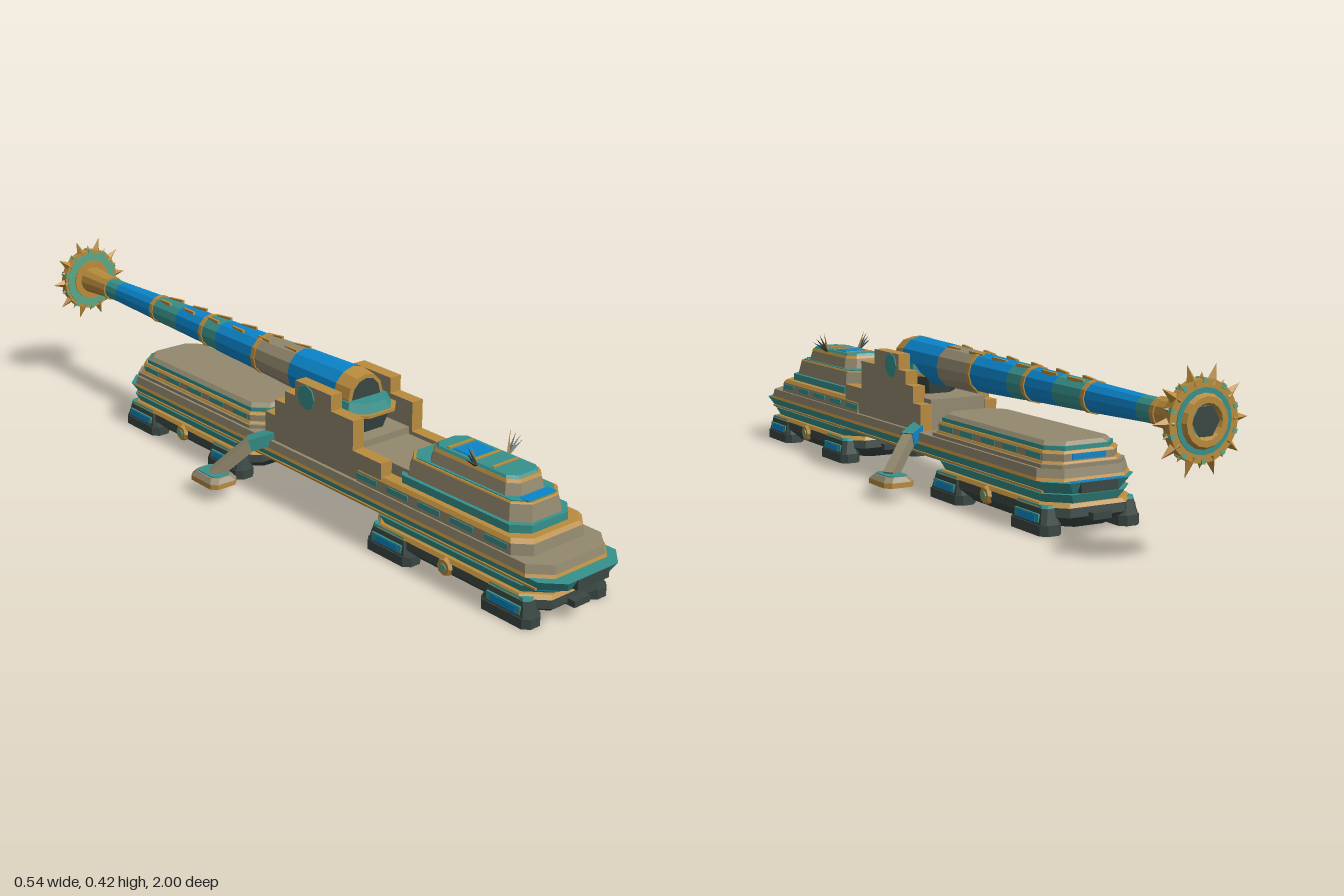
import * as THREE from 'three';

const mat = (name, color) => Object.assign(new THREE.MeshStandardMaterial({ color, flatShading: true }), { name });

export function createModel() {
  const gold = mat('gold', 0xb98b3d), stone = mat('stone grey', 0x93896f), teal = mat('teal', 0x37918c);
  const blue = mat('blue', 0x0b86cc), dark = mat('dark iron', 0x3a4743), mint = mat('light teal', 0x58a888);
  const sea = mat('deep cyan', 0x1a86a6);
  const root = new THREE.Group();
  root.name = 'railGun';

  const group = (name, parent = root) => {
    const g = new THREE.Group();
    g.name = name;
    parent.add(g);
    return g;
  };
  const add = (parent, name, geo, material, x = 0, y = 0, z = 0) => {
    const m = new THREE.Mesh(geo, material);
    m.name = name;
    m.position.set(x, y, z);
    parent.add(m);
    return m;
  };
  const box = (p, name, m, w, h, d, x, y, z) => add(p, name, new THREE.BoxGeometry(w, h, d), m, x, y, z);

  // Slab with clipped corners, tapering from its bottom ring to its top ring
  const slab = (p, name, m, y0, y1, zB, zF, hw, inBot = 0, inTop = 0, clip = 0.035) => {
    const ring = (y, i) => {
      const w = hw - i, f = zF - i, b = zB + i, c = clip;
      return [[w - c, f], [w, f - c], [w, b + c], [w - c, b], [c - w, b], [-w, b + c], [-w, f - c], [c - w, f]]
        .map(([x, z]) => [x, y, z]);
    };
    const a = ring(y0, inBot), b = ring(y1, inTop), pos = [];
    const tri = (...v) => v.forEach(q => pos.push(...q));
    for (let i = 0; i < 8; i++) {
      const j = (i + 1) % 8;
      tri(a[i], a[j], b[j]);
      tri(a[i], b[j], b[i]);
      if (i > 0 && i < 7) {
        tri(b[0], b[i], b[j]);
        tri(a[0], a[j], a[i]);
      }
    }
    const g = new THREE.BufferGeometry();
    g.setAttribute('position', new THREE.Float32BufferAttribute(pos, 3));
    g.computeVertexNormals();
    return add(p, name, g, m);
  };

  // Two bogies with corner feet
  const bogie = (name, zB, zF) => {
    const g = group(name), mid = (zB + zF) / 2, half = (zF - zB) / 2;
    slab(g, 'lowerHull', dark, 0.01, 0.04, zB, zF, 0.124, 0.035, 0, 0.05);
    slab(g, 'upperHull', dark, 0.04, 0.062, zB, zF, 0.124, 0, 0.003, 0.05);
    slab(g, 'goldBand', gold, 0.062, 0.071, zB, zF, 0.126, 0, 0.006, 0.05);
    slab(g, 'tealCollar', teal, 0.071, 0.092, zB, zF, 0.12, 0.01, 0, 0.05);
    for (const s of [-1, 1]) {
      box(g, 'bumper', dark, 0.05, 0.016, 0.03, 0, 0.042, mid + s * (half + 0.005));
      const boss = add(g, 'sideBoss', new THREE.CylinderGeometry(0.019, 0.024, 0.01, 8), gold, s * 0.126, 0.048, mid);
      boss.rotation.z = -s * Math.PI / 2;
      const hub = add(g, 'bossHub', new THREE.CylinderGeometry(0.01, 0.01, 0.003, 8), mint, s * 0.132, 0.048, mid);
      hub.rotation.z = -s * Math.PI / 2;
      for (const e of [-1, 1]) {
        const z = mid + e * (half - 0.09);
        const foot = group('foot', g);
        slab(foot, 'footPad', dark, 0, 0.024, z - 0.075, z + 0.075, 0.029, 0, 0, 0.015);
        slab(foot, 'footBlock', dark, 0.024, 0.06, z - 0.07, z + 0.07, 0.026, 0, 0.008, 0.01);
        slab(foot, 'footCap', teal, 0.06, 0.067, z - 0.062, z + 0.062, 0.019, 0, 0.002, 0.01);
        foot.position.x = s * 0.107;
        box(g, 'footFrame', teal, 0.006, 0.02, 0.1, s * 0.13, 0.038, z);
        box(g, 'footWindow', blue, 0.004, 0.016, 0.075, s * 0.132, 0.037, z);
      }
    }
  };
  bogie('frontBogie', 0.40, 0.955);
  bogie('rearBogie', -0.615, -0.055);

  // Long deck
  const deck = group('deck');
  slab(deck, 'deckBelly', sea, 0.088, 0.092, -0.59, 0.97, 0.108);
  slab(deck, 'deckRim', teal, 0.092, 0.12, -0.622, 1.0, 0.124, 0.016, 0, 0.045);
  slab(deck, 'deckLine', gold, 0.12, 0.127, -0.602, 0.966, 0.128, 0, 0.003, 0.045);
  slab(deck, 'deckPlate', stone, 0.127, 0.147, -0.598, 0.962, 0.125, 0, 0.004, 0.045);
  box(deck, 'rearRimPlate', blue, 0.14, 0.004, 0.016, 0, 0.119, -0.612);
  for (const s of [-1, 1]) {
    box(deck, 'rimStrip', gold, 0.006, 0.005, 1.5, s * 0.112, 0.0945, 0.19);
    box(deck, 'couplerPlate', dark, 0.1, 0.024, 0.026, 0, 0.107, 0.189 + s * 0.799);
  }

  // Front cabin in stepped tiers
  const cabin = group('frontCabin');
  slab(cabin, 'lowerTier', stone, 0.147, 0.173, 0.33, 0.9, 0.116, 0, 0.003);
  slab(cabin, 'tierLine', gold, 0.173, 0.182, 0.33, 0.896, 0.114, 0, 0.007);
  slab(cabin, 'tealTier', teal, 0.182, 0.201, 0.46, 0.87, 0.092);
  slab(cabin, 'greyTier', stone, 0.201, 0.24, 0.47, 0.86, 0.082, 0, 0.008);
  slab(cabin, 'greyTierLine', gold, 0.24, 0.243, 0.477, 0.853, 0.0745, 0, 0.002, 0.033);
  slab(cabin, 'greyTierTop', teal, 0.243, 0.245, 0.484, 0.846, 0.068, 0, 0, 0.032);
  slab(cabin, 'upperTier', stone, 0.243, 0.272, 0.53, 0.815, 0.061, 0, 0.007, 0.025);
  slab(cabin, 'roofLine', gold, 0.272, 0.279, 0.536, 0.808, 0.055, 0, 0.004, 0.022);
  slab(cabin, 'roof', teal, 0.279, 0.285, 0.542, 0.8, 0.05, 0, 0.004, 0.02);
  for (const z of [0.59, 0.675, 0.73]) box(cabin, 'roofStripe', gold, 0.08, 0.004, 0.008, 0, 0.2855, z);
  box(cabin, 'roofPanel', blue, 0.07, 0.003, 0.06, 0, 0.2852, 0.632);
  box(cabin, 'cabinFloor', stone, 0.15, 0.03, 0.2, 0, 0.194, 0.4);
  box(cabin, 'frontLedge', blue, 0.09, 0.003, 0.026, 0, 0.2445, 0.83);
  for (const s of [-1, 1]) {
    for (let i = 0; i < 5; i++) box(cabin, 'sideWindow', teal, 0.006, 0.013, 0.07, s * 0.113, 0.162, 0.4 + i * 0.105);
    // Fan of spiny antennas
    const fan = group('antennaFan', cabin);
    fan.position.set(s * 0.05, 0.28, 0.69);
    for (let i = 0; i < 4; i++) {
      const spike = add(fan, 'antenna', new THREE.ConeGeometry(0.005, 0.058 - i * 0.004, 4).translate(0, 0.027, 0), i ? dark : gold);
      spike.rotation.set((i - 1.5) * 0.12, 0, -s * (0.25 + i * 0.25));
    }
  }

  // Rear cabin
  const rear = group('rearCabin');
  slab(rear, 'lowerTier', stone, 0.147, 0.156, -0.59, -0.02, 0.114);
  slab(rear, 'lowerLine', gold, 0.156, 0.161, -0.584, -0.025, 0.108, 0, 0.003);
  slab(rear, 'windowTier', stone, 0.161, 0.178, -0.577, -0.03, 0.102);
  slab(rear, 'windowLine', gold, 0.178, 0.184, -0.579, -0.029, 0.104, 0, 0.004);
  slab(rear, 'upperTier', teal, 0.184, 0.194, -0.57, -0.035, 0.095);
  slab(rear, 'roof', stone, 0.194, 0.203, -0.566, -0.038, 0.092, 0, 0.008);
  for (const s of [-1, 1])
    for (let i = 0; i < 5; i++) box(rear, 'sideWindow', teal, 0.006, 0.013, 0.06, s * 0.101, 0.17, -0.105 - i * 0.1);
  for (const s of [-0.576, -0.031]) box(rear, 'endWindow', blue, 0.09, 0.013, 0.006, 0, 0.17, s);

  // Stepped cradle walls with gold edges, trunnions and bed
  const cradle = group('cradle');
  const wall = new THREE.Shape([[0.445, 0.1], [0.445, 0.217], [0.345, 0.217], [0.345, 0.292], [0.265, 0.292], [0.265, 0.332],
    [0.13, 0.332], [0.13, 0.292], [0.09, 0.292], [0.09, 0.258], [0.05, 0.258], [0.05, 0.215], [0.012, 0.215],
    [0.012, 0.1]].reverse().map(([z, y]) => new THREE.Vector2(z, y)));
  for (const s of [-1, 1]) {
    const g = new THREE.ExtrudeGeometry(wall, { depth: 0.034, bevelEnabled: false });
    add(cradle, 'cradleWall', g.rotateY(-Math.PI / 2), [stone, gold], s * 0.095 + 0.017);
    const disc = add(cradle, 'trunnion', new THREE.CylinderGeometry(0.031, 0.033, 0.003, 8), teal, s * 0.1125, 0.3, 0.172);
    disc.rotation.z = -s * Math.PI / 2;
  }
  box(cradle, 'cradleBed', stone, 0.16, 0.1, 0.32, 0, 0.176, 0.175);
  slab(cradle, 'breechBase', dark, 0.225, 0.272, 0.1, 0.305, 0.076, 0.012, 0);
  slab(cradle, 'breechLine', gold, 0.272, 0.279, 0.1, 0.322, 0.077);
  slab(cradle, 'breechBlock', teal, 0.279, 0.302, 0.1, 0.314, 0.069, 0, 0.008);

  // Gun barrel along z
  const gun = group('gunBarrel');
  gun.position.y = 0.305;
  const tube = (name, m, zF, rF, zB, rB) =>
    add(gun, name, new THREE.CylinderGeometry(rF, rB, zF - zB, 12).rotateX(Math.PI / 2), m, 0, 0, (zF + zB) / 2);
  tube('breechCap', gold, 0.262, 0.055, 0.215, 0.062);
  add(gun, 'breechFace', new THREE.CircleGeometry(0.045, 12), dark, 0, 0, 0.264);
  const stations = [[0.215, 0.061, blue], [0.03, 0.056, stone], [-0.12, 0.05, blue], [-0.29, 0.045, teal], [-0.36, 0.042, blue],
    [-0.48, 0.039, teal], [-0.6, 0.036, blue], [-0.79, 0.03, teal], [-0.845, 0.03, gold], [-0.96, 0.038]];
  for (let i = 0; i < stations.length - 1; i++) {
    const [z, r, m] = stations[i], [z2, r2] = stations[i + 1];
    tube('barrelSection', m, z, r, z2, r2);
  }
  for (const [z, r] of [[-0.12, 0.053], [-0.36, 0.045], [-0.6, 0.039], [-0.85, 0.034]]) tube('barrelRing', gold, z + 0.007, r, z - 0.007, r);
  for (let i = 0; i < 6; i++)
    for (const s of [-1, 1]) {
      const z = 0.0 - i * 0.11, r = 0.054 - i * 0.0034;
      const cleat = box(gun, 'barrelCleat', gold, 0.007, 0.008, 0.055, s * 0.018, r * 0.92, z);
      cleat.rotation.set(-0.06, s * 0.12, 0);
    }

  // Spiked muzzle ring
  const muzzle = group('muzzle', gun);
  muzzle.position.z = -0.975;
  const disc = (name, m, r, z, h) => add(muzzle, name, new THREE.CylinderGeometry(r, r, h, 20).rotateX(Math.PI / 2), m, 0, 0, z);
  disc('muzzleDisc', gold, 0.088, 0, 0.022);
  disc('frontFace', mint, 0.08, 0.011, 0.005);
  disc('frontCollar', gold, 0.057, 0.013, 0.008);
  disc('rearFace', teal, 0.07, -0.01, 0.006);
  add(muzzle, 'muzzleLip', new THREE.TorusGeometry(0.046, 0.014, 6, 16), gold, 0, 0, -0.011);
  add(muzzle, 'bore', new THREE.CircleGeometry(0.036, 6).rotateY(Math.PI), dark, 0, 0, -0.0165);
  for (let i = 0; i < 20; i++) {
    const long = i % 2 === 1, h = long ? 0.046 : 0.024;
    const spike = add(muzzle, long ? 'longSpike' : 'shortSpike', new THREE.ConeGeometry(long ? 0.015 : 0.012, h, 4), gold);
    const a = i * Math.PI / 10, r = 0.076 + h / 2;
    spike.position.set(Math.sin(a) * r, Math.cos(a) * r, 0);
    spike.rotation.z = -a;
    if (!long) box(muzzle, 'spikeInlay', mint, 0.01, 0.01, 0.026, Math.sin(a) * 0.084, Math.cos(a) * 0.084, 0).rotation.z = -a;
  }

  // Outriggers
  const beam = (p, name, m, a, b, w, h) => {
    const mesh = box(p, name, m, w, h, a.distanceTo(b), 0, 0, 0);
    mesh.position.copy(a).lerp(b, 0.5);
    mesh.lookAt(b);
  };
  for (const s of [-1, 1]) {
    const g = group(s > 0 ? 'leftOutrigger' : 'rightOutrigger');
    const v = (x, y, z) => new THREE.Vector3(s * x, y, z);
    const shoulderFaces = [s < 0 ? teal : blue, blue, teal, blue, blue, blue];
    beam(g, 'shoulder', shoulderFaces, v(0.1, 0.152, 0.035), v(0.155, 0.134, 0.0), 0.034, 0.032);
    beam(g, 'arm', stone, v(0.145, 0.14, 0.005), v(0.232, 0.055, -0.05), 0.028, 0.03);
    const foot = group('outriggerFoot', g);
    slab(foot, 'soleInset', dark, 0.034, 0.036, -0.035, 0.035, 0.023, 0, 0, 0.01);
    slab(foot, 'sole', gold, 0.035, 0.048, -0.055, 0.055, 0.041, 0, 0, 0.015);
    slab(foot, 'footTop', stone, 0.048, 0.06, -0.055, 0.055, 0.041, 0, 0.01, 0.015);
    slab(foot, 'footInset', teal, 0.06, 0.062, -0.04, 0.04, 0.027, 0, 0, 0.01);
    foot.position.set(s * 0.229, 0, -0.052);
  }
  return root;
}
